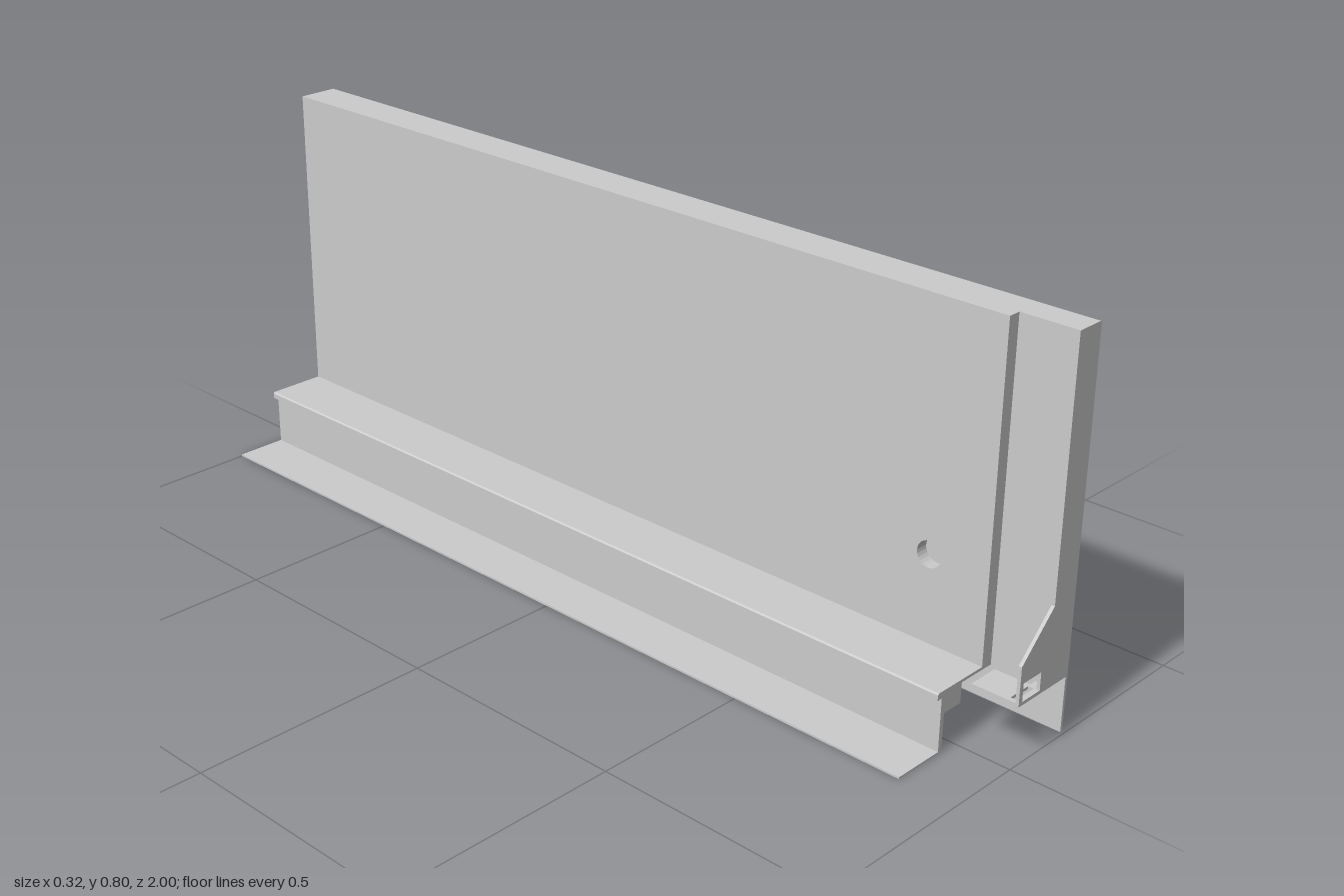
import * as THREE from 'three';

const material = new THREE.MeshStandardMaterial({ color: 0xcccccc, flatShading: true });

function shapeOf(points) {
  return new THREE.Shape(points.map(([x, y]) => new THREE.Vector2(x, y)));
}

function rectPath(x0, y0, x1, y1) {
  return new THREE.Path([[x0, y0], [x0, y1], [x1, y1], [x1, y0]].map(([x, y]) => new THREE.Vector2(x, y)));
}

// Extrude an outline along z between two stations
function extrudeZ(name, shape, z0, z1) {
  const geometry = new THREE.ExtrudeGeometry(shape, { depth: z1 - z0, bevelEnabled: false, curveSegments: 12 });
  geometry.translate(0, 0, z0);
  const mesh = new THREE.Mesh(geometry, material);
  mesh.name = name;
  return mesh;
}

export function createModel() {
  const group = new THREE.Group();
  group.name = 'panelWithRail';
  const back = -1, front = 1, step = 0.88;

  // Outer panel with its skirt, and the core behind it
  group.add(extrudeZ('outerPanel', shapeOf([
    [0.097, 0.122], [0.154, 0.122], [0.154, 0.008], [0.156, 0.005], [0.158, 0.005],
    [0.16, 0.008], [0.16, 0.797], [0.157, 0.8], [0.097, 0.8],
  ]), back, front));

  // Inner face, drawn in the z-y plane, with a round recess
  const inner = shapeOf([[back, 0.122], [step, 0.122], [step, 0.8], [back, 0.8]]);
  const recess = new THREE.Path();
  recess.absarc(0.75, 0.306, 0.027, 0, Math.PI * 2, true);
  inner.holes.push(recess);
  const innerFace = extrudeZ('innerFace', inner, 0, 0.027);
  innerFace.geometry.rotateY(-Math.PI / 2).translate(0.097, 0, 0);
  group.add(innerFace);

  // Stepped rail: foot flange, web, box step and top ledge with lip
  group.add(extrudeZ('rail', shapeOf([
    [-0.16, 0], [-0.038, 0], [-0.038, 0.08], [0.01, 0.08], [0.01, 0.122], [0.07, 0.122],
    [0.07, 0.128], [-0.057, 0.128], [-0.06, 0.125], [-0.06, 0.114], [-0.048, 0.114],
    [-0.048, 0.004], [-0.16, 0.004],
  ]), back, step));

  // Upright bracket plate with a window
  const plate = shapeOf([[0.01, 0.122], [0.097, 0.122], [0.097, 0.287], [0.01, 0.202]]);
  plate.holes.push(rectPath(0.02, 0.129, 0.073, 0.166));
  const bracket = new THREE.Group();
  bracket.name = 'bracket';
  bracket.add(extrudeZ('bracketPlate', plate, 0.993, front));

  // Bracket foot with a slot beside the window, drawn in the x-z plane
  const foot = shapeOf([
    [0.01, -0.993], [0.097, -0.993], [0.097, -0.975], [0.08, -0.975], [0.08, -0.9], [0.01, -0.9],
  ]);
  foot.holes.push(rectPath(0.02, -0.988, 0.073, -0.976));
  const footMesh = extrudeZ('bracketFoot', foot, 0, 0.006);
  footMesh.geometry.rotateX(-Math.PI / 2).translate(0, 0.122, 0);
  bracket.add(footMesh);
  group.add(bracket);

  return group;
}
